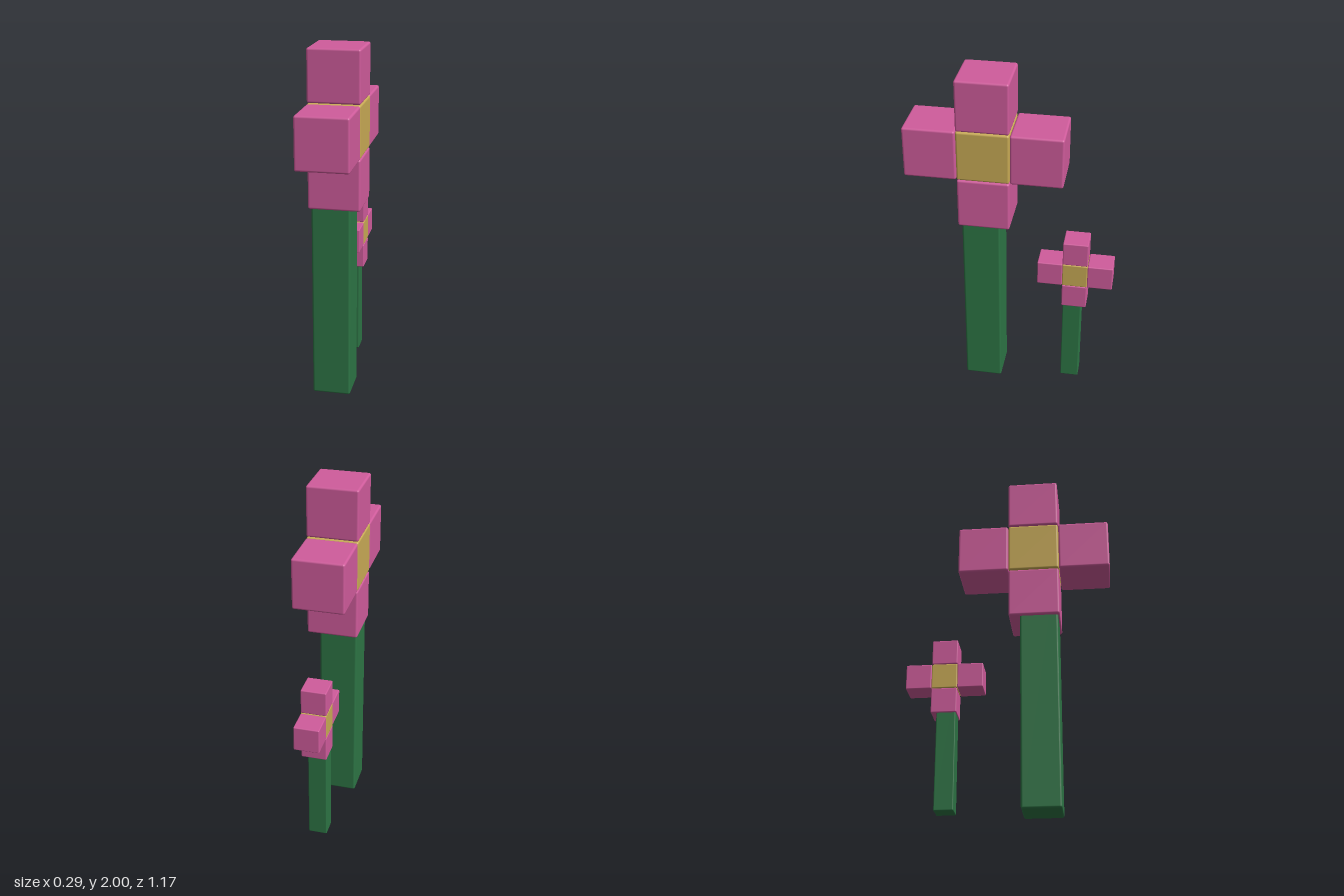
import * as THREE from 'three';
import { RoundedBoxGeometry } from 'three/addons/geometries/RoundedBoxGeometry.js';

const pink = new THREE.MeshStandardMaterial({ color: 0xd05c9c });
const gold = new THREE.MeshStandardMaterial({ color: 0xc9ab55 });
const green = new THREE.MeshStandardMaterial({ color: 0x2d7545 });

const CUBE = 0.292; // edge of one flower block
const STEP = 0.294; // spacing between blocks
const HEART_Y = 1.56;

function block(name, size, position, material) {
  const mesh = new THREE.Mesh(new RoundedBoxGeometry(...size, 2, 0.012), material);
  mesh.name = name;
  mesh.position.set(...position);
  return mesh;
}

// One flower: square stem, gold centre and a cross of four petals in the YZ plane
function flower(name) {
  const group = new THREE.Group();
  group.name = name;
  const x = -0.002, z = 0.145;

  group.add(block('stem', [0.218, 1.42, 0.218], [-0.022, 0.71, 0.172], green));
  group.add(block('flowerCentre', [CUBE, CUBE, CUBE], [x, HEART_Y, z], gold));

  const petals = { topPetal: [1, 0], bottomPetal: [-1, 0], frontPetal: [0, 1], backPetal: [0, -1] };
  for (const [petal, [dy, dz]] of Object.entries(petals)) {
    group.add(block(petal, [CUBE, CUBE, CUBE], [x, HEART_Y + dy * STEP, z + dz * STEP], pink));
  }
  return group;
}

export function createModel() {
  const model = new THREE.Group();
  model.name = 'blockFlowers';
  model.add(flower('largeFlower'));

  // Half-size flower behind the large one
  const small = flower('smallFlower');
  small.scale.setScalar(0.495);
  small.position.set(-0.012, 0.016, -0.439);
  model.add(small);
  return model;
}
